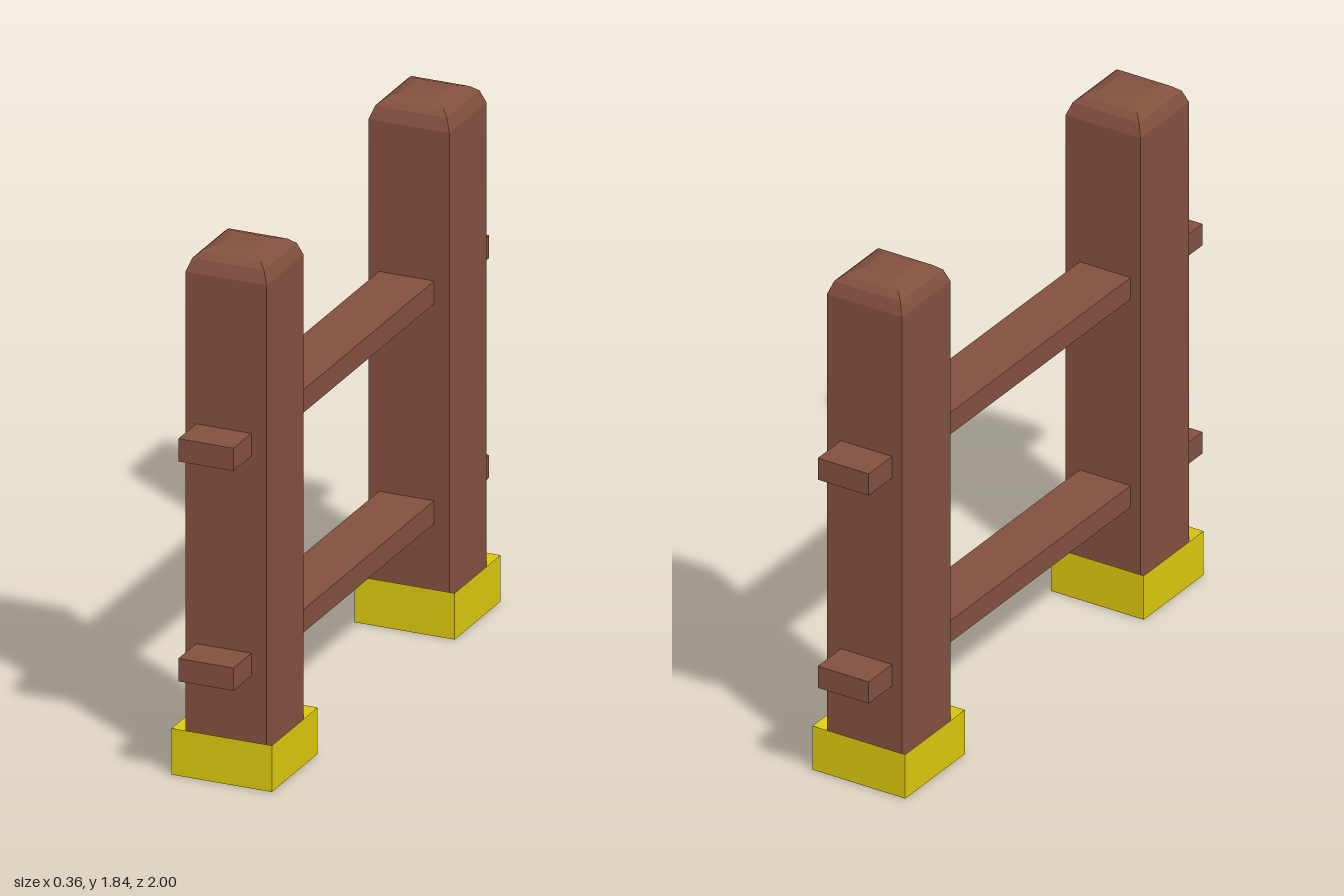
import * as THREE from 'three';

const wood = new THREE.MeshStandardMaterial({ color: 0x82503f, flatShading: true });
const yellow = new THREE.MeshStandardMaterial({ color: 0xdcc80d, flatShading: true });

// Square solid from a profile of [half width, height], listed bottom to top
function squareLathe(profile) {
  const points = profile.map(([w, y]) => new THREE.Vector2(w * Math.SQRT2, y));
  return new THREE.LatheGeometry(points, 4, Math.PI / 4);
}

function addMesh(parent, name, geometry, material, x, y, z) {
  const mesh = new THREE.Mesh(geometry, material);
  mesh.name = name;
  mesh.position.set(x, y, z);
  parent.add(mesh);
}

export function createModel() {
  const model = new THREE.Group();
  model.name = 'fence';

  // Post with a rounded-off cap
  const postGeometry = squareLathe([
    [0, 0.08], [0.145, 0.08], [0.145, 1.76], [0.128, 1.805],
    [0.105, 1.825], [0.065, 1.838], [0, 1.838],
  ]);
  // Foot block, hollowed with sloping sides above and below
  const footGeometry = squareLathe([
    [0, 0.042], [0.143, 0.042], [0.179, 0], [0.179, 0.163], [0.143, 0.121], [0, 0.121],
  ]);
  for (const [side, z] of [['front', 0.715], ['back', -0.715]]) {
    addMesh(model, side + 'Post', postGeometry, wood, 0, 0, z);
    addMesh(model, side + 'Foot', footGeometry, yellow, 0, 0, z);
  }

  // Rails running through both posts
  const railGeometry = new THREE.BoxGeometry(0.197, 0.08, 2);
  addMesh(model, 'lowerRail', railGeometry, wood, -0.008, 0.42, 0);
  addMesh(model, 'upperRail', railGeometry, wood, -0.008, 1.192, 0);

  return model;
}
